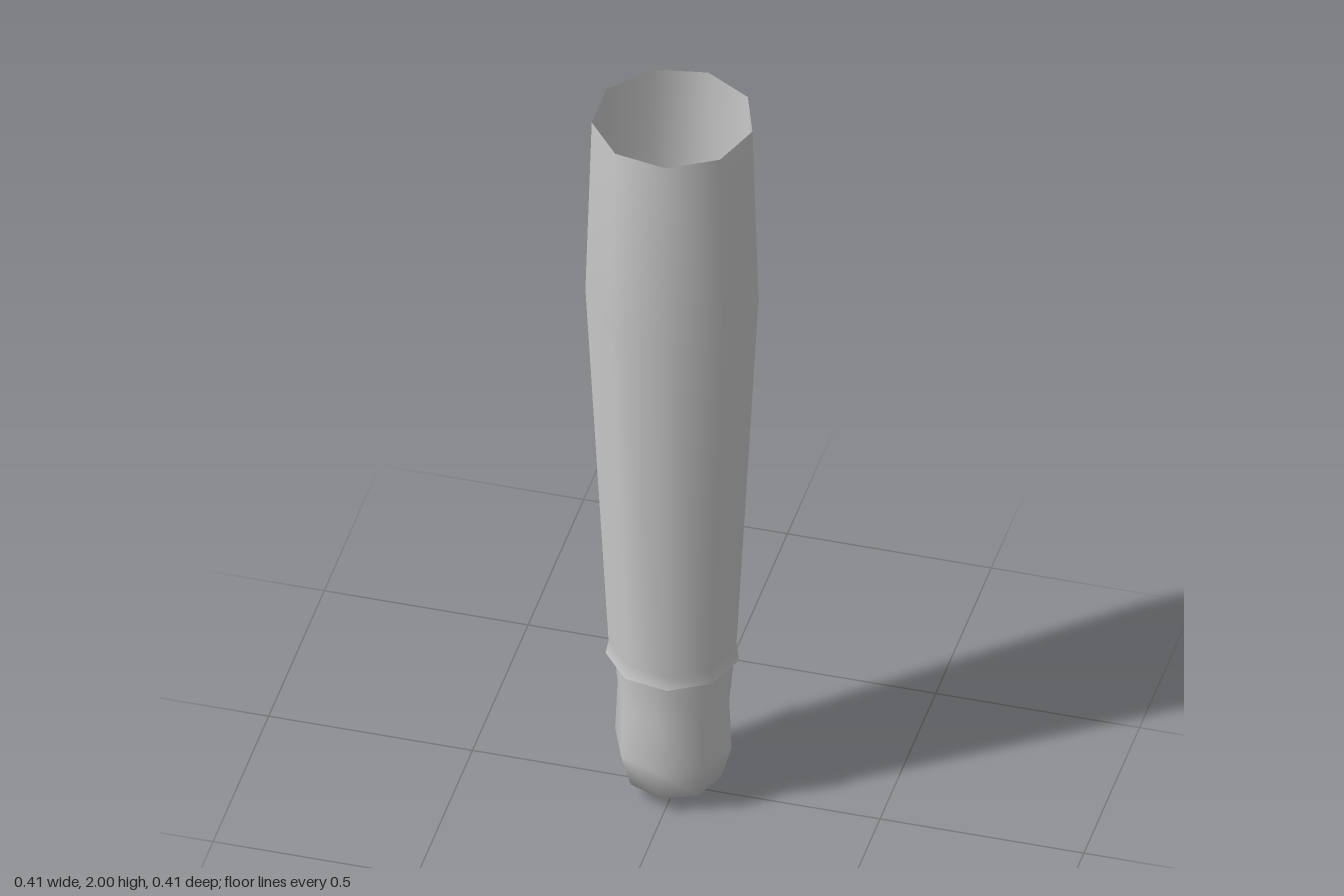
import * as THREE from 'three';

const material = new THREE.MeshStandardMaterial({ color: 0xcccccc, side: THREE.DoubleSide });

// Open shell of revolution with a corner on the +x axis; profile is [radius, height] from the bottom up
function shell(name, profile, sides) {
  const points = profile.map(([r, y]) => new THREE.Vector2(r, y));
  const mesh = new THREE.Mesh(new THREE.LatheGeometry(points, sides, Math.PI / 2), material);
  mesh.name = name;
  mesh.position.x = -0.007;
  return mesh;
}

export function createModel() {
  const group = new THREE.Group();
  group.name = 'sleevedArm';

  // Nine-sided sleeve, open at both ends, with a flared cuff
  group.add(shell('sleeve', [
    [0.161, 0.405], [0.154, 0.44], [0.209, 1.5], [0.194, 2],
  ], 9));

  // Eight-sided rounded stump, open at the top inside the cuff
  group.add(shell('hand', [
    [0, 0], [0.117, 0.045], [0.143, 0.14], [0.137, 0.28], [0.149, 0.41],
  ], 8));

  return group;
}
